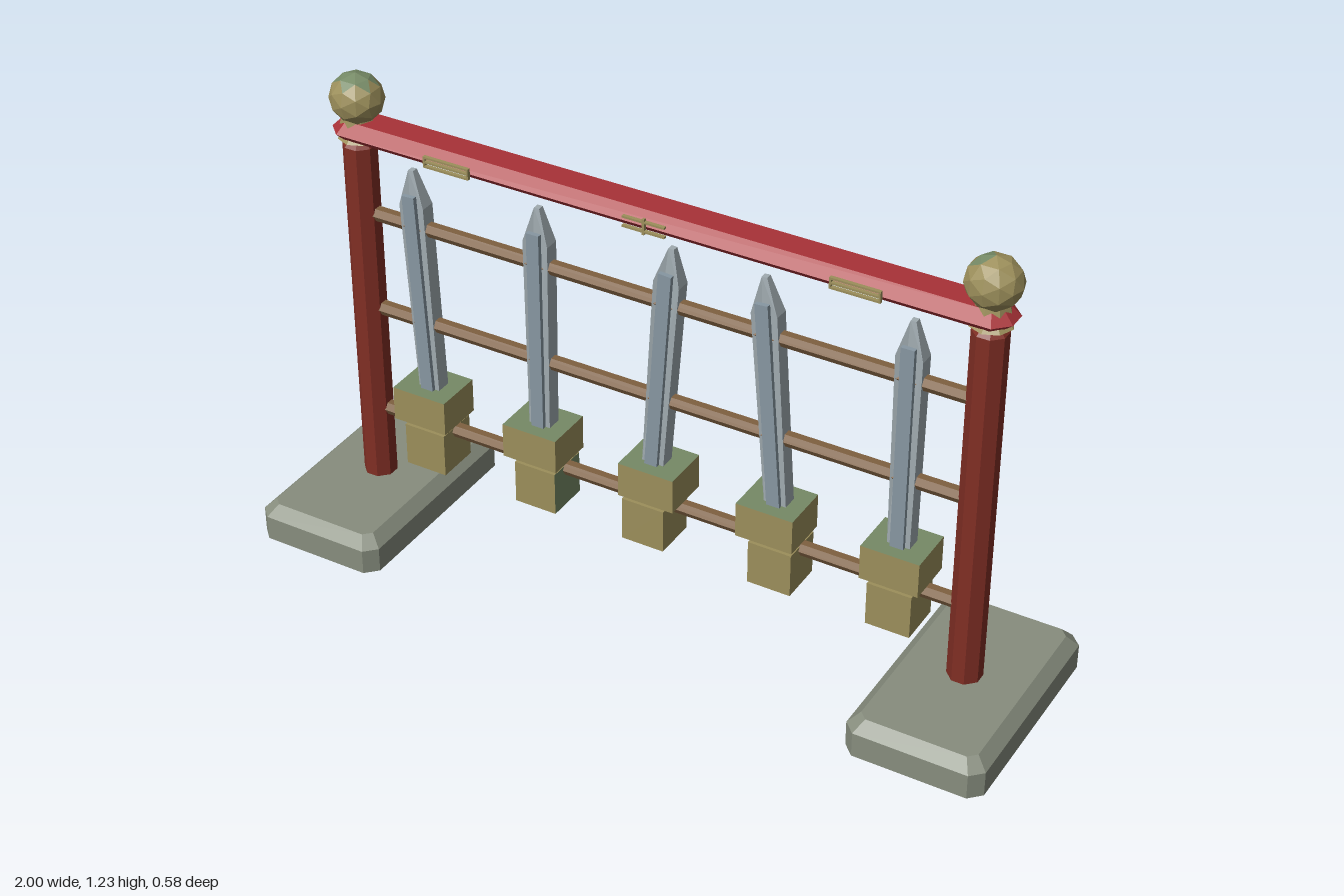
import * as THREE from 'three';

const mat = (name, color, side = THREE.FrontSide) => {
  const m = new THREE.MeshStandardMaterial({ color, side });
  m.name = name;
  return m;
};

// Flat facets: split the vertices and recompute face normals
const facet = (g) => {
  const f = g.index ? g.toNonIndexed() : g;
  f.computeVertexNormals();
  return f;
};

// Chamfered rectangle in plan: half width, half depth, corner cut
const plan = (w, d, c) => [
  [w, d - c], [w, c - d], [w - c, -d], [c - w, -d],
  [-w, c - d], [-w, d - c], [c - w, d], [w - c, d],
];

// Skin horizontal outlines stacked along y
function loft(layers, closeBottom = true) {
  const pos = [];
  const put = (y, p) => pos.push(p[0], y, p[1]);
  const n = layers[0].pts.length;
  for (let k = 0; k < layers.length - 1; k++) {
    const lo = layers[k], hi = layers[k + 1];
    for (let i = 0; i < n; i++) {
      const j = (i + 1) % n;
      put(lo.y, lo.pts[i]); put(lo.y, lo.pts[j]); put(hi.y, hi.pts[j]);
      put(lo.y, lo.pts[i]); put(hi.y, hi.pts[j]); put(hi.y, hi.pts[i]);
    }
  }
  const top = layers[layers.length - 1], bottom = layers[0];
  for (let i = 1; i < n - 1; i++) {
    put(top.y, top.pts[0]); put(top.y, top.pts[i]); put(top.y, top.pts[i + 1]);
    if (closeBottom) {
      put(bottom.y, bottom.pts[0]); put(bottom.y, bottom.pts[i + 1]); put(bottom.y, bottom.pts[i]);
    }
  }
  const g = new THREE.BufferGeometry();
  g.setAttribute('position', new THREE.Float32BufferAttribute(pos, 3));
  g.computeVertexNormals();
  return g;
}

export function createModel() {
  const stone = mat('stone', 0x878d7e, THREE.DoubleSide);
  const postRed = mat('post red', 0x802e24);
  const beamRed = mat('beam red', 0xa83237);
  const wood = mat('wood', 0x7f6040);
  const brass = mat('brass', 0x9c8f5b);
  const patina = mat('patina', 0x768a66);
  const steel = mat('steel', 0xa0abb0);
  const fullerSteel = mat('fuller steel', 0x8797a2);

  const model = new THREE.Group();
  const add = (parent, name, geometry, material, x = 0, y = 0, z = 0) => {
    const m = new THREE.Mesh(geometry, material);
    m.name = name;
    m.position.set(x, y, z);
    parent.add(m);
    return m;
  };
  const box = (w, h, d) => new THREE.BoxGeometry(w, h, d);

  // Hollow stone feet, posts and finials on both sides
  const foot = loft([
    { y: 0, pts: plan(0.175, 0.292, 0.03) },
    { y: 0.066, pts: plan(0.175, 0.292, 0.03) },
    { y: 0.095, pts: plan(0.147, 0.264, 0.02) },
  ], false);
  const post = loft([
    { y: 0.005, pts: plan(0.04, 0.04, 0.024) },
    { y: 1.04, pts: plan(0.04, 0.04, 0.024) },
    { y: 1.066, pts: plan(0.018, 0.018, 0.01) },
  ]);
  for (const s of [-1, 1]) {
    const side = new THREE.Group();
    side.name = s > 0 ? 'leftSupport' : 'rightSupport';
    side.position.x = s * 0.823;
    model.add(side);
    add(side, 'foot', foot, stone, s * 0.002);
    add(side, 'post', post, postRed);
    add(side, 'lowerCollar', facet(new THREE.CylinderGeometry(0.032, 0.052, 0.02, 8)), brass, 0, 1.068);
    add(side, 'neck', facet(new THREE.CylinderGeometry(0.038, 0.046, 0.03, 8)), brass, 0, 1.108);

    // Ball with tarnished upper facets
    const ball = facet(new THREE.IcosahedronGeometry(0.065, 1));
    const p = ball.attributes.position;
    for (let i = 0; i < p.count; i += 3) {
      const cx = (p.getX(i) + p.getX(i + 1) + p.getX(i + 2)) / 3;
      const cy = (p.getY(i) + p.getY(i + 1) + p.getY(i + 2)) / 3;
      const green = cy > 0.046 && (s < 0 || cx < 0);
      ball.addGroup(i, 3, green ? 1 : 0);
    }
    add(side, 'ballFinial', ball, [brass, patina], 0, 1.162).scale.x = 1.05;
  }

  // Top beam with bevelled faces and ends
  add(model, 'topBeam', loft([
    { y: 1.064, pts: plan(0.862, 0.042, 0.025) },
    { y: 1.082, pts: plan(0.882, 0.059, 0.035) },
    { y: 1.11, pts: plan(0.855, 0.034, 0.02) },
  ]), beamRed);

  // Small open brass ornaments along the beam front
  for (const x of [-0.53, 0, 0.53]) {
    const ornament = new THREE.Group();
    ornament.name = 'beamOrnament';
    ornament.position.set(x, 1.086, 0.066);
    model.add(ornament);
    for (const y of [-0.012, 0.012]) {
      add(ornament, 'bar', box(x ? 0.125 : 0.11, 0.005, 0.009), brass, 0, y);
    }
    if (x) {
      add(ornament, 'bar', box(0.125, 0.005, 0.009), brass);
      for (const e of [-0.06, 0.06]) add(ornament, 'end', box(0.005, 0.028, 0.009), brass, e);
    } else {
      add(ornament, 'pin', box(0.006, 0.04, 0.009), brass);
    }
  }

  // Horizontal rails
  const rail = facet(new THREE.CylinderGeometry(0.019, 0.019, 1.62, 6).rotateZ(Math.PI / 2));
  for (const y of [0.295, 0.59, 0.857]) add(model, 'rail', rail, wood, 0, y);

  // Swords: guard x, lean of the blade, grip offset
  const outline = new THREE.Shape([
    [-0.029, 0], [0.029, 0], [0.034, 0.51], [0.007, 0.602], [-0.007, 0.602], [-0.034, 0.51],
  ].map(([x, y]) => new THREE.Vector2(x, y)));
  const blade = new THREE.ExtrudeGeometry(outline, { depth: 0.04, bevelEnabled: false });
  blade.translate(0, 0, -0.02);
  // Thin the blade towards its point
  const bp = blade.attributes.position;
  for (let i = 0; i < bp.count; i++) if (bp.getY(i) > 0.55) bp.setZ(i, bp.getZ(i) * 0.4);
  const bladeGeo = facet(blade);
  const tops = [brass, brass, patina, brass, brass, brass];
  const swords = [
    [-0.647, 0.05, 0.008], [-0.326, 0, 0.01], [0, -0.07, -0.012], [0.32, 0.08, 0.013], [0.645, 0, 0],
  ];
  swords.forEach(([x, lean, shift], i) => {
    const sword = new THREE.Group();
    sword.name = 'sword';
    sword.position.x = x;
    model.add(sword);
    const bladeGroup = new THREE.Group();
    bladeGroup.name = 'bladeGroup';
    bladeGroup.position.set(shift * 0.4, 0.408, 0);
    bladeGroup.rotation.z = lean;
    sword.add(bladeGroup);
    add(bladeGroup, 'blade', bladeGeo, steel);
    add(bladeGroup, 'fuller', box(0.034, 0.542, 0.012), fullerSteel, 0, 0.271, 0.025);
    add(sword, 'guard', box(0.15, 0.092, 0.128), tops, 0, 0.364);
    add(sword, 'gripNeck', box(0.06, 0.03, 0.06), brass, shift, 0.31);
    const sides = i === 1 ? [patina, brass, brass, brass, brass, brass] : brass;
    add(sword, 'grip', box(0.114, 0.116, 0.114), sides, shift, 0.247);
  });

  return model;
}
